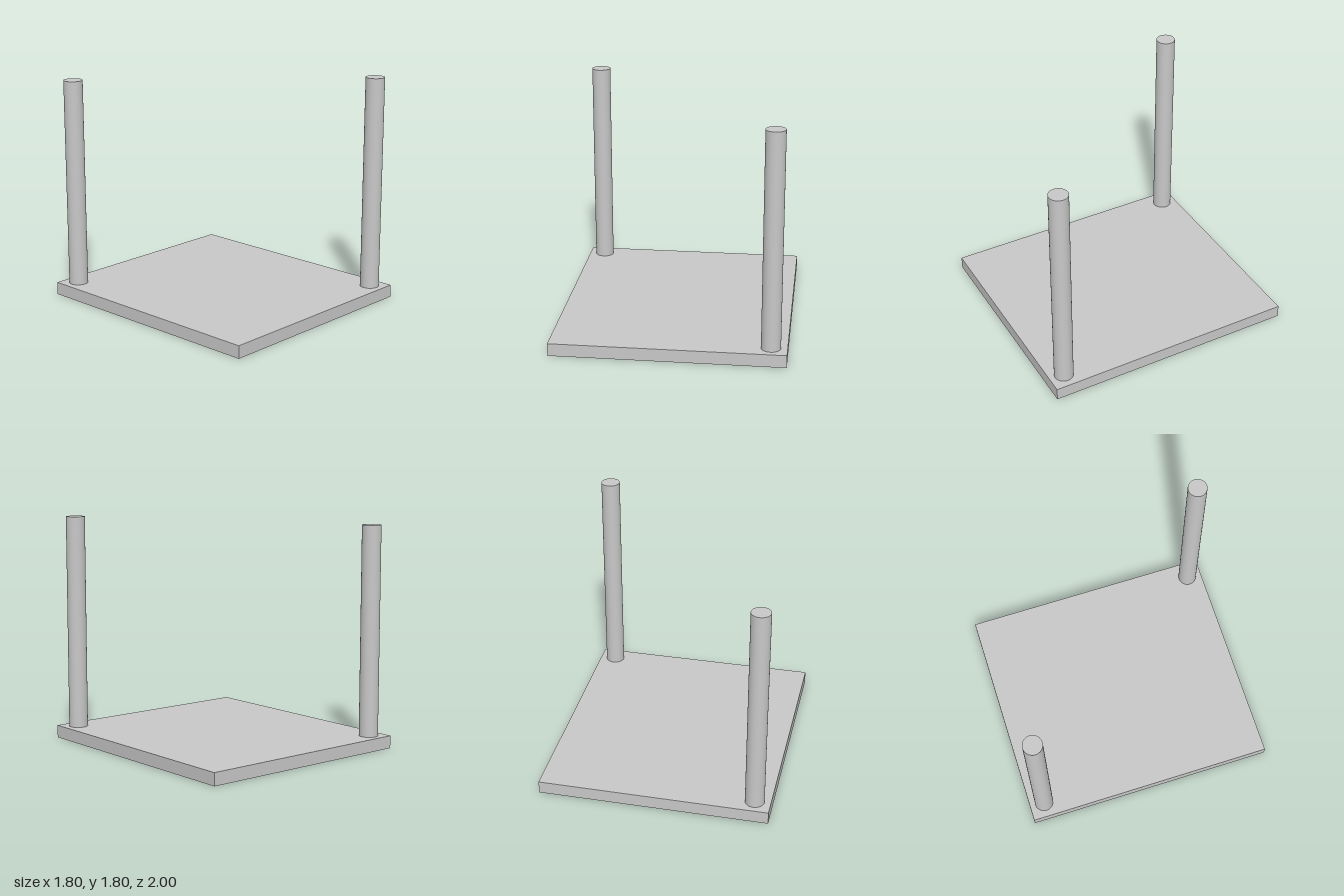
import * as THREE from 'three';

export function createModel() {
  const model = new THREE.Group();
  const grey = new THREE.MeshStandardMaterial({ color: 0xc8c8c8 });
  grey.name = 'light grey';

  // Flat rectangular base
  const baseHeight = 0.1;
  const base = new THREE.Mesh(new THREE.BoxGeometry(1.8, baseHeight, 2), grey);
  base.name = 'base';
  base.position.y = baseHeight / 2;
  model.add(base);

  // Round posts on opposite corners, the front one slightly taller
  const addPost = (name, x, z, top) => {
    const height = top - baseHeight;
    const post = new THREE.Mesh(new THREE.CylinderGeometry(0.075, 0.075, height, 48), grey);
    post.name = name;
    post.position.set(x, baseHeight + height / 2, z);
    model.add(post);
  };
  addPost('frontLeftPost', 0.775, 0.88, 1.8);
  addPost('backRightPost', -0.775, -0.88, 1.76);

  return model;
}
